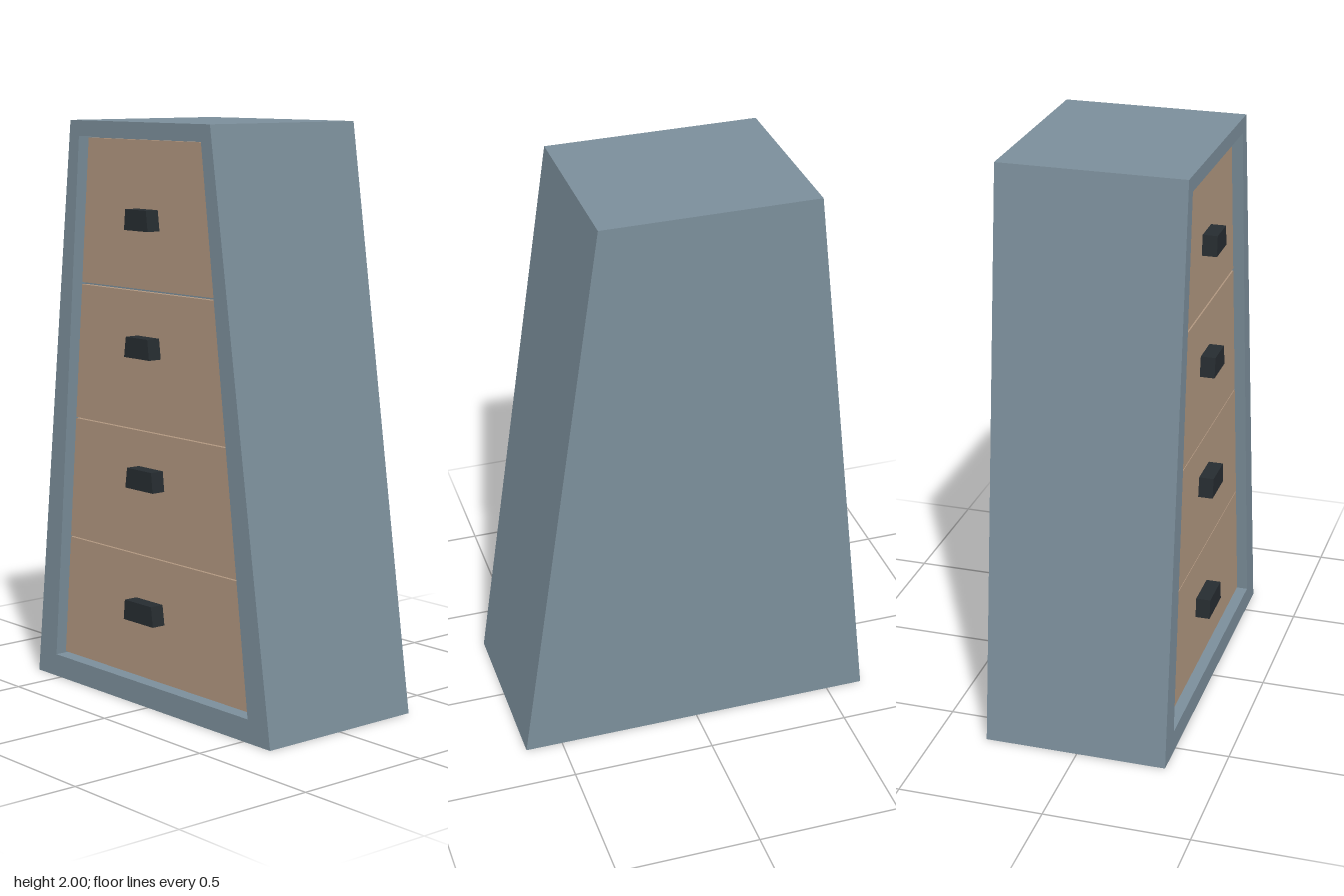
import * as THREE from 'three';

const BACK = -0.325, FLOOR = 0.255, PANEL = 0.275, FRONT = 0.312, GRIP = 0.326;

const bodyMat = new THREE.MeshStandardMaterial({ color: 0x7b8e9a });
const woodMat = new THREE.MeshStandardMaterial({ color: 0xb0967f });
const gripMat = new THREE.MeshStandardMaterial({ color: 0x262c30 });

// Corners of a trapezoid: bottom y, its left and right x, then the same for the top
const trapezoid = (y0, l0, r0, y1, l1, r1) =>
  [[l0, y0], [r0, y0], [r1, y1], [l1, y1]].map(([x, y]) => new THREE.Vector2(x, y));

// Flat outline, with an optional hole, extruded from zBack to zFront
function slab(name, material, points, zBack, zFront, hole) {
  const shape = new THREE.Shape(points);
  if (hole) shape.holes.push(new THREE.Path(hole));
  const geometry = new THREE.ExtrudeGeometry(shape, { depth: zFront - zBack, bevelEnabled: false });
  geometry.translate(0, 0, zBack);
  const mesh = new THREE.Mesh(geometry, material);
  mesh.name = name;
  return mesh;
}

export function createModel() {
  const model = new THREE.Group();
  model.name = 'taperedChestOfDrawers';

  // Lopsided tapering case with a recessed front
  const outline = trapezoid(0, -0.632, 0.63, 2, -0.407, 0.332);
  const opening = trapezoid(0.08, -0.525, 0.52, 1.947, -0.36, 0.287);
  model.add(slab('caseBody', bodyMat, outline, BACK, FLOOR));
  model.add(slab('frontFrame', bodyMat, outline, FLOOR, FRONT, opening));

  // Drawer fronts follow the slanted sides of the opening
  const left = (y) => THREE.MathUtils.mapLinear(y, 0.08, 1.947, -0.518, -0.353);
  const right = (y) => THREE.MathUtils.mapLinear(y, 0.08, 1.947, 0.513, 0.28);
  const drawers = [[0.087, 0.518], [0.522, 0.953], [0.957, 1.431], [1.439, 1.94]];
  // Handles: bottom y, left, right; top y, left, right
  const handles = [
    [0.295, -0.112, 0.048, 0.365, -0.105, 0.038],
    [0.76, -0.098, 0.05, 0.83, -0.088, 0.042],
    [1.21, -0.1, 0.034, 1.28, -0.09, 0.025],
    [1.64, -0.096, 0.03, 1.71, -0.089, 0.021],
  ];
  drawers.forEach(([y0, y1], i) => {
    const drawer = new THREE.Group();
    drawer.name = `drawer${i + 1}`;
    const face = trapezoid(y0, left(y0), right(y0), y1, left(y1), right(y1));
    drawer.add(slab('drawerFront', woodMat, face, FLOOR, PANEL));
    drawer.add(slab('handle', gripMat, trapezoid(...handles[i]), PANEL, GRIP));
    model.add(drawer);
  });
  return model;
}
